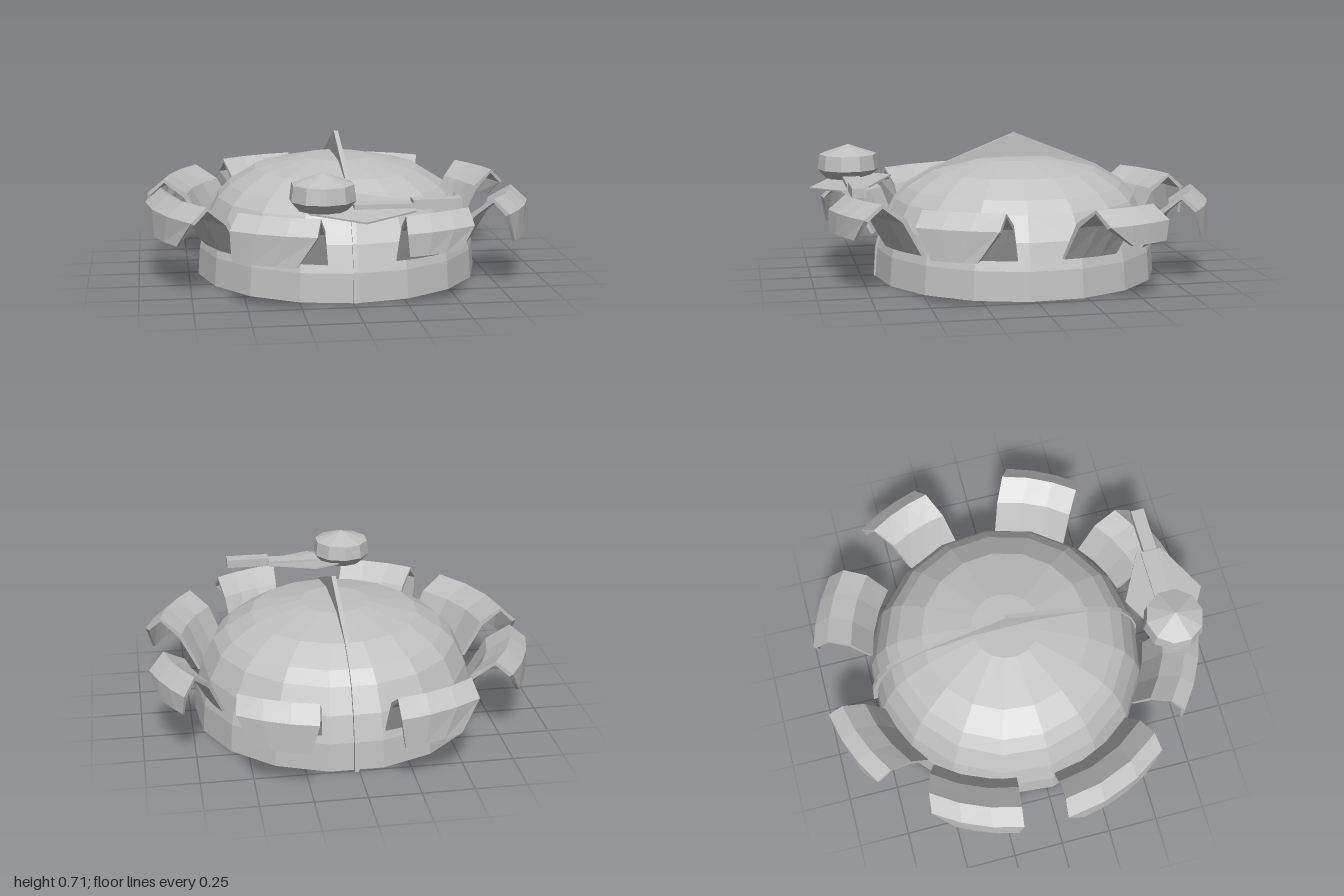
import * as THREE from 'three';

const hull = new THREE.MeshStandardMaterial({ color: 0xc0c0c0, flatShading: true });
hull.name = 'hullGrey';

function add(parent, name, geometry, x = 0, y = 0, z = 0) {
  const mesh = new THREE.Mesh(geometry, hull);
  mesh.name = name;
  mesh.position.set(x, y, z);
  parent.add(mesh);
  return mesh;
}

// Dome outline as [radius, height]
const domeProfile = [[0.715, 0], [0.705, 0.14], [0.67, 0.27], [0.61, 0.39], [0.55, 0.45],
  [0.42, 0.53], [0.17, 0.585]];

// Folded arm between four plan corners: angle grows from a to b, cuts narrow the drop lip
function armGeometry({ inner, outer, lip, cut }) {
  const polar = ([x, z]) => [Math.atan2(z, x), Math.hypot(x, z)];
  const [ia, ib] = inner.map(polar);
  const [oa, ob] = outer.map(polar);
  // Cross-section as [inward-to-outward fraction, height]: top side, then underside back
  const section = [[0, 0.19], [0.33, 0.375], [0.72, 0.45], [1, 0.38], [1, lip],
    [0.95, lip], [0.94, 0.37], [0.71, 0.432], [0.38, 0.355], [0.06, 0.19]];
  const steps = 3, n = section.length, points = [];
  const lerp = THREE.MathUtils.lerp;
  for (let i = 0; i <= steps; i++) {
    section.forEach(([t, y], j) => {
      let s = i / steps;
      if (j === 4 || j === 5) s = lerp(cut[0], 1 - cut[1], s);
      const angle = lerp(lerp(ia[0], ib[0], s), lerp(oa[0], ob[0], s), t);
      const r = lerp(lerp(ia[1], ib[1], s), lerp(oa[1], ob[1], s), t);
      points.push(r * Math.cos(angle), y, r * Math.sin(angle));
    });
  }
  const index = [];
  const quad = (a, b, c, d) => index.push(a, b, c, a, c, d);
  for (let i = 0; i < steps; i++) {
    for (let j = 0; j < n; j++) {
      const k = (j + 1) % n;
      quad(i * n + j, (i + 1) * n + j, (i + 1) * n + k, i * n + k);
    }
  }
  const end = steps * n;
  for (let j = 0; j < 4; j++) {
    quad(j, j + 1, 8 - j, 9 - j);
    quad(end + 9 - j, end + 8 - j, end + j + 1, end + j);
  }
  const geometry = new THREE.BufferGeometry();
  geometry.setAttribute('position', new THREE.Float32BufferAttribute(points, 3));
  geometry.setIndex(index);
  const flat = geometry.toNonIndexed();
  flat.computeVertexNormals();
  return flat;
}

const arms = [
  { name: 'leftFrontArm', inner: [[0.68, 0.08], [0.53, 0.42]], outer: [[0.95, 0.22], [0.77, 0.57]], lip: 0.235, cut: [0.25, 0.2] },
  { name: 'frontLeftArm', inner: [[0.48, 0.49], [0.21, 0.63]], outer: [[0.55, 0.78], [0.21, 0.92]], lip: 0.275, cut: [0.22, 0.03] },
  { name: 'frontRightArm', inner: [[-0.12, 0.67], [-0.42, 0.52]], outer: [[-0.2, 0.93], [-0.58, 0.74]], lip: 0.235, cut: [0.22, 0.02] },
  { name: 'rightFrontArm', inner: [[-0.49, 0.47], [-0.68, 0.04]], outer: [[-0.75, 0.57], [-0.96, 0.03]], lip: 0.25, cut: [0.2, 0.15] },
  { name: 'rightBackArm', inner: [[-0.65, -0.15], [-0.48, -0.54]], outer: [[-0.95, -0.19], [-0.77, -0.61]], lip: 0.25, cut: [0.05, 0.25] },
  { name: 'backRightArm', inner: [[-0.45, -0.56], [-0.13, -0.71]], outer: [[-0.55, -0.83], [-0.15, -0.99]], lip: 0.235, cut: [0.25, 0.05] },
  { name: 'backLeftArm', inner: [[0.17, -0.71], [0.51, -0.55]], outer: [[0.22, -0.99], [0.58, -0.83]], lip: 0.235, cut: [0.1, 0.2] },
  { name: 'leftBackArm', inner: [[0.6, -0.4], [0.68, -0.13]], outer: [[0.8, -0.61], [0.95, -0.29]], lip: 0.285, cut: [0.05, 0.35] },
];

export function createModel() {
  const model = new THREE.Group();
  model.name = 'domedStation';

  // Faceted dome with closed top and base
  const domePoints = [[0, 0], ...domeProfile, [0, 0.588]].map(([r, y]) => new THREE.Vector2(r, y));
  add(model, 'dome', new THREE.LatheGeometry(domePoints, 17), 0.01, 0, -0.035);

  // Thin rib over the dome, rising to a peaked fin
  const side = domeProfile.map(([r, y]) => [r + 0.008, y + (y > 0 ? 0.008 : 0)]);
  const outline = [...side.slice(0, 6), [0, 0.71],
    ...side.slice(0, 6).reverse().map(([r, y]) => [-r, y])];
  const ribShape = new THREE.Shape(outline.map(([z, y]) => new THREE.Vector2(z, y)));
  const rib = new THREE.ExtrudeGeometry(ribShape, { depth: 0.022, bevelEnabled: false });
  rib.translate(0, 0, -0.011).rotateY(-Math.PI / 2);
  add(model, 'ribAndFin', rib, 0.011, 0, -0.037);

  // Ring of folded arms
  const ring = new THREE.Group();
  ring.name = 'armRing';
  model.add(ring);
  arms.forEach((arm) => add(ring, arm.name, armGeometry(arm)));

  // Small craft hovering over the front
  const craft = new THREE.Group();
  craft.name = 'hoverCraft';
  model.add(craft);
  const podPoints = [[0, 0.475], [0.115, 0.48], [0.155, 0.525], [0.145, 0.6], [0, 0.65]]
    .map(([r, y]) => new THREE.Vector2(r, y));
  add(craft, 'pod', new THREE.LatheGeometry(podPoints, 10), -0.16, 0, 0.79);

  // Tilted six-sided wing plate
  const wingShape = new THREE.Shape([[0, -0.205], [0.25, -0.07], [0.25, 0.065], [0, 0.205],
    [-0.24, 0.065], [-0.24, -0.07]].map(([x, z]) => new THREE.Vector2(x, -z)));
  const wing = new THREE.ExtrudeGeometry(wingShape, { depth: 0.008, bevelEnabled: false });
  wing.translate(0, 0, -0.004).rotateX(-Math.PI / 2 + 0.133);
  add(craft, 'wing', wing, 0.01, 0.482, 0.795);

  // Beam and end block
  add(craft, 'beam', new THREE.BoxGeometry(0.27, 0.03, 0.085), 0.115, 0.488, 0.788);
  add(craft, 'endBlock', new THREE.BoxGeometry(0.23, 0.045, 0.068), 0.365, 0.497, 0.793);

  return model;
}
